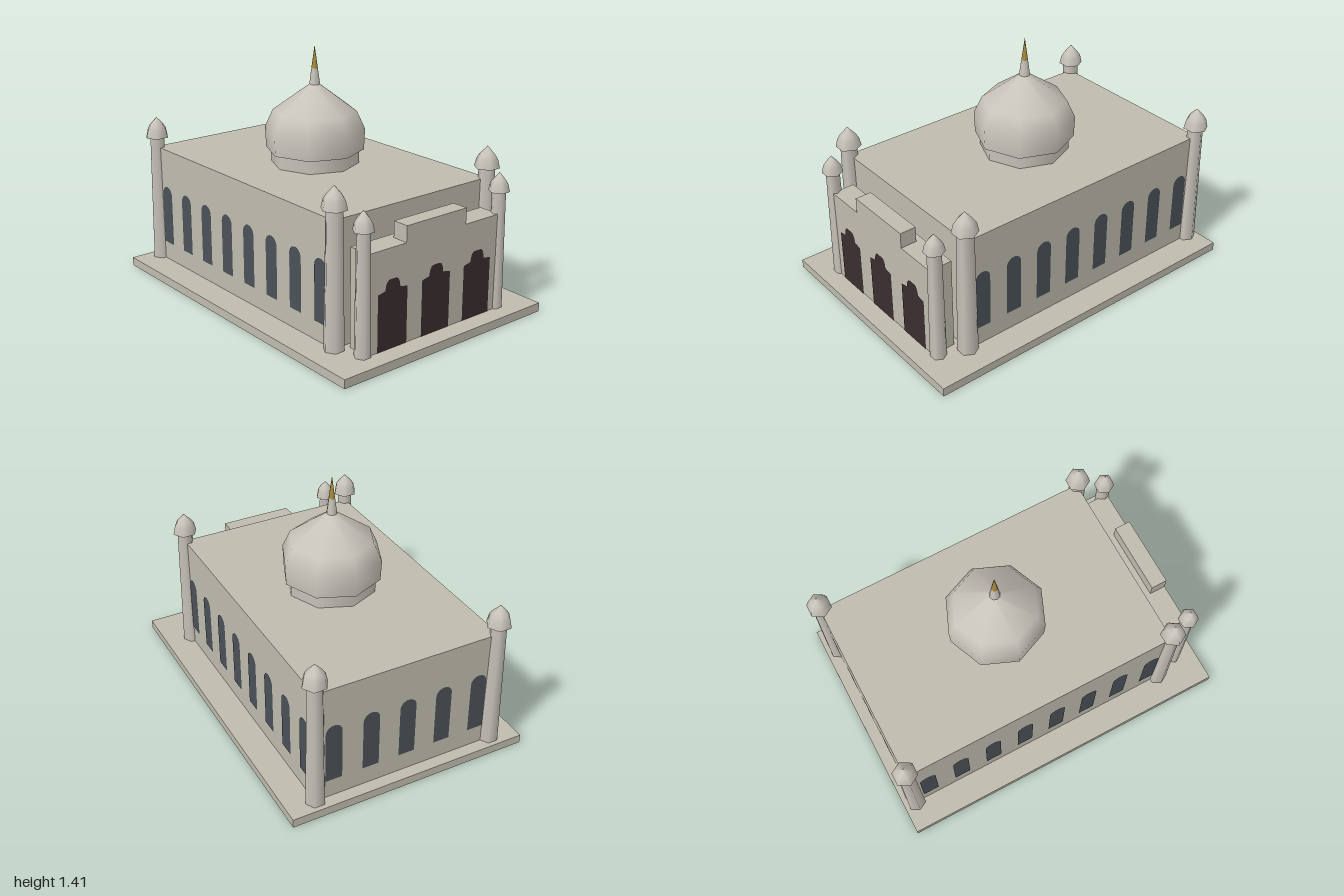
import * as THREE from 'three';

const mat = (name, color) => {
  const m = new THREE.MeshStandardMaterial({ color });
  m.name = name;
  return m;
};

export function createModel() {
  const model = new THREE.Group();
  model.name = 'domedHall';
  const wall = mat('wall stone', 0xbfbbae);
  const pale = mat('pale stone', 0xc8c3ba);
  const glass = mat('window slate', 0x4b5158);
  const door = mat('door brown', 0x3a2d2f);
  const gold = mat('gold', 0xa58a3c);
  wall.side = pale.side = THREE.DoubleSide;

  const add = (name, geo, material, x = 0, y = 0, z = 0, parent = model) => {
    const mesh = new THREE.Mesh(geo, material);
    mesh.name = name;
    mesh.position.set(x, y, z);
    parent.add(mesh);
    return mesh;
  };
  // box given by its lower and upper corners
  const block = (name, a, b) => add(name,
    new THREE.BoxGeometry(b[0] - a[0], b[1] - a[1], b[2] - a[2]), wall,
    (a[0] + b[0]) / 2, (a[1] + b[1]) / 2, (a[2] + b[2]) / 2);
  // lathe with sharp rings and smooth sides; first vertex on the x axis
  const lathe = (points, sides) => new THREE.LatheGeometry(
    points.map(([r, y]) => new THREE.Vector2(r, y)), sides, Math.PI / 2);

  // plinth, hollow underneath
  const plinth = block('plinth', [-0.7, 0, -1], [0.7, 0.05, 1]);
  const index = Array.from(plinth.geometry.index.array);
  index.splice(18, 6);
  plinth.geometry.setIndex(index);
  plinth.geometry.clearGroups();

  // main hall and stepped porch screen
  block('hall', [-0.54, 0.05, -0.93], [0.54, 0.74, 0.72]);
  block('porch', [-0.46, 0.05, 0.755], [0.46, 0.595, 0.89]);
  block('porchParapet', [-0.21, 0.595, 0.795], [0.21, 0.685, 0.89]);

  // round-headed windows along the sides and back
  const arch = new THREE.Shape();
  arch.moveTo(-0.048, 0.16);
  arch.lineTo(0.048, 0.16);
  arch.lineTo(0.048, 0.465);
  arch.absarc(0, 0.465, 0.048, 0, Math.PI);
  const windowGeo = new THREE.ShapeGeometry(arch, 6);
  for (let i = 0; i < 8; i++) {
    for (const s of [-1, 1]) {
      add('sideWindow', windowGeo, glass, s * 0.544, 0, 0.622 - i * 0.206)
        .rotation.y = s * Math.PI / 2;
    }
  }
  for (let i = -2; i <= 2; i++) {
    add('backWindow', windowGeo, glass, i * 0.216, 0, -0.934).rotation.y = Math.PI;
  }

  // three doorways with shouldered arches
  const gate = new THREE.Shape();
  gate.moveTo(-0.099, 0.051);
  gate.lineTo(0.099, 0.051);
  gate.lineTo(0.099, 0.365);
  gate.lineTo(0.05, 0.375);
  gate.quadraticCurveTo(0.045, 0.43, 0.02, 0.43);
  gate.lineTo(-0.02, 0.43);
  gate.quadraticCurveTo(-0.045, 0.43, -0.05, 0.375);
  gate.lineTo(-0.099, 0.365);
  const gateGeo = new THREE.ShapeGeometry(gate, 5);
  for (const x of [-0.3, 0, 0.3]) add('doorway', gateGeo, door, x, 0, 0.894);

  // six-sided minarets: tapered shaft and pointed cap
  const minaret = (name, x, z, r0, r1, shaftTop, capR, tip) => {
    const g = new THREE.Group();
    g.name = name;
    g.position.set(x, 0, z);
    model.add(g);
    const h = tip - shaftTop;
    add('shaft', lathe([[r0, 0.05], [r1, shaftTop]], 6), pale, 0, 0, 0, g);
    add('capUnderside', lathe([[r1 * 0.9, shaftTop + 0.005], [capR, shaftTop]], 6), pale, 0, 0, 0, g);
    add('cap', lathe([[capR, shaftTop], [capR * 0.84, shaftTop + h * 0.4],
      [capR * 0.6, shaftTop + h * 0.62], [0, tip]], 6), pale, 0, 0, 0, g);
  };
  for (const s of [-1, 1]) {
    minaret('frontMinaret', s * 0.535, 0.72, 0.057, 0.046, 0.8, 0.071, 0.92);
    minaret('backMinaret', s * 0.535, -0.925, 0.057, 0.046, 0.8, 0.071, 0.92);
    minaret('porchMinaret', s * 0.475, 0.868, 0.045, 0.038, 0.715, 0.058, 0.82);
  }

  // eight-sided drum, dome and spire
  const dome = new THREE.Group();
  dome.name = 'dome';
  dome.position.z = -0.1;
  model.add(dome);
  add('drum', lathe([[0.25, 0.74], [0.25, 0.82]], 8), pale, 0, 0, 0, dome);
  add('domeUnderside', lathe([[0.24, 0.82], [0.278, 0.82]], 8), pale, 0, 0, 0, dome);
  add('domeShell', lathe([[0.278, 0.82], [0.283, 0.94], [0.237, 1.04], [0.03, 1.19]], 8),
    pale, 0, 0, 0, dome);
  add('spireBase', lathe([[0.03, 1.19], [0.018, 1.28]], 8), pale, 0, 0, 0, dome);
  add('spireTip', lathe([[0.018, 1.28], [0, 1.41]], 8), gold, 0, 0, 0, dome);

  return model;
}
